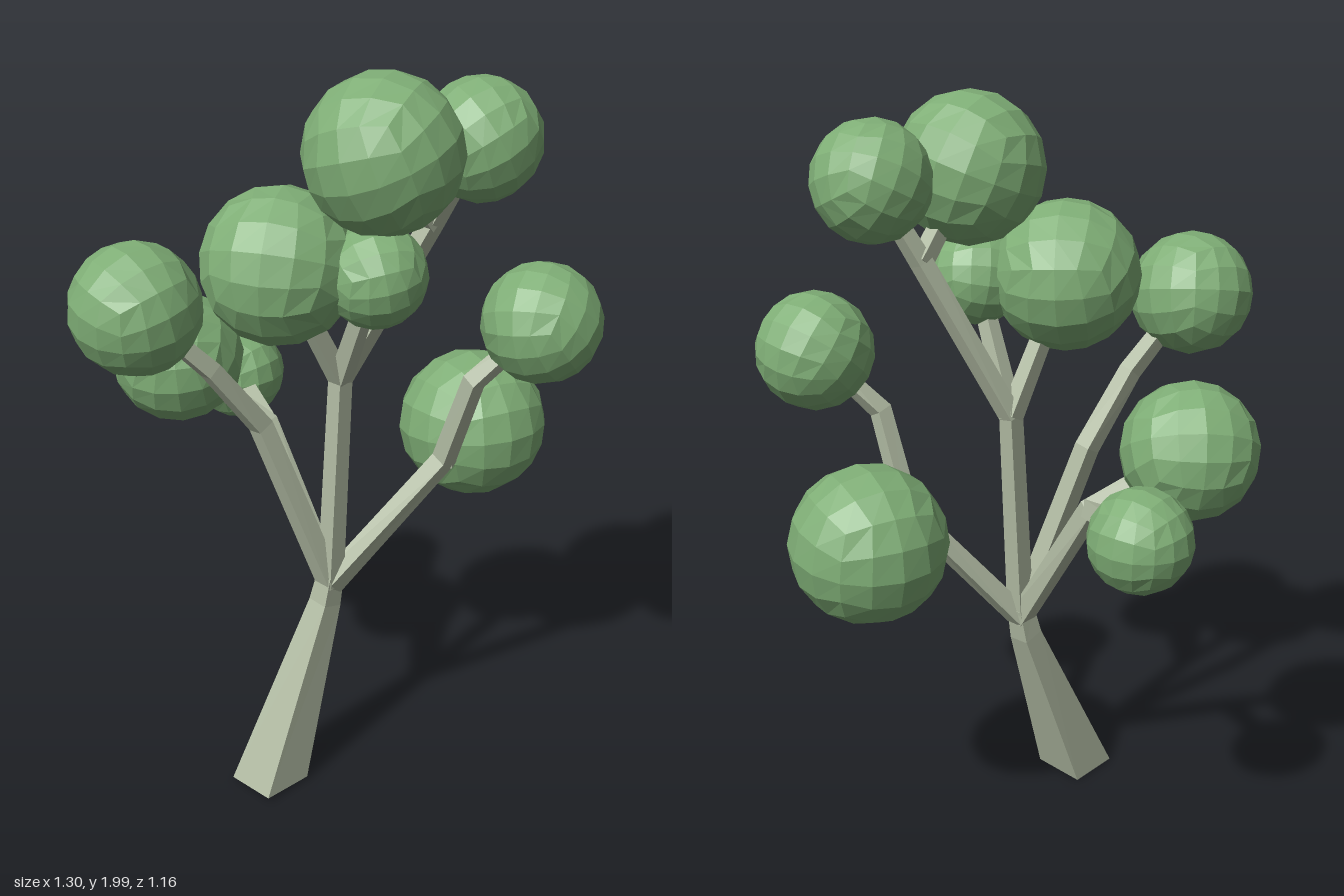
import * as THREE from 'three';

const V = (a) => new THREE.Vector3(a[0], a[1], a[2]);

// Four-sided limb through points [x, y, z, halfSide], mitred at each bend, capped at both ends.
function limbGeometry(points, baseNormal) {
  const p = points.map(V), n = p.length, pos = [], index = [];
  const ref = new THREE.Vector3(0.94, 0, 0.34);
  for (let i = 0; i < n; i++) {
    const t = new THREE.Vector3();
    if (i > 0) t.add(p[i].clone().sub(p[i - 1]).normalize());
    if (i < n - 1) t.add(p[i + 1].clone().sub(p[i]).normalize());
    if (i === 0 && baseNormal) t.copy(baseNormal);
    t.normalize();
    const u = ref.clone().addScaledVector(t, -ref.dot(t)).normalize();
    const w = u.clone().cross(t);
    for (const [a, b] of [[-1, -1], [-1, 1], [1, 1], [1, -1]]) {
      const h = points[i][3];
      const c = p[i].clone().addScaledVector(u, a * h).addScaledVector(w, b * h);
      pos.push(c.x, c.y, c.z);
    }
  }
  for (let i = 0; i < n - 1; i++) {
    for (let k = 0; k < 4; k++) {
      const a = i * 4 + k, b = i * 4 + (k + 1) % 4;
      index.push(a, b, b + 4, a, b + 4, a + 4);
    }
  }
  const e = (n - 1) * 4;
  index.push(0, 2, 1, 0, 3, 2, e, e + 1, e + 2, e, e + 2, e + 3);
  const g = new THREE.BufferGeometry();
  g.setAttribute('position', new THREE.Float32BufferAttribute(pos, 3));
  g.setIndex(index);
  g.computeVertexNormals();
  return g;
}

// Ball made of a subdivided cube pushed out to a unit sphere.
function ballGeometry() {
  const g = new THREE.BoxGeometry(2, 2, 2, 4, 4, 4);
  const p = g.attributes.position, v = new THREE.Vector3();
  const even = (c) => Math.tan(c * Math.PI / 4);
  for (let i = 0; i < p.count; i++) {
    v.fromBufferAttribute(p, i);
    v.set(even(v.x), even(v.y), even(v.z)).normalize();
    p.setXYZ(i, v.x, v.y, v.z);
  }
  g.computeVertexNormals();
  return g;
}

export function createModel() {
  const tree = new THREE.Group();
  tree.name = 'tree';
  const bark = new THREE.MeshStandardMaterial({ color: 0xb0baa2, flatShading: true });
  const leaf = new THREE.MeshStandardMaterial({ color: 0x7fae76, flatShading: true });

  // Foliage balls: centre and radius
  const balls = {
    top: [0.157, 1.803, 0.08, 0.198],
    topBack: [0.313, 1.8, -0.156, 0.156],
    middle: [-0.072, 1.523, 0.18, 0.199],
    upperRight: [-0.344, 1.445, 0.412, 0.166],
    lowerRight: [-0.476, 1.148, 0.017, 0.18],
    lowerRightBack: [-0.442, 1.005, -0.25, 0.134],
    inner: [0.157, 1.512, 0.118, 0.131],
    upperLeft: [0.492, 1.346, -0.166, 0.157],
    lowerLeftBack: [0.237, 0.928, -0.378, 0.206],
  };
  const ball = ballGeometry();
  Object.entries(balls).forEach(([name, [x, y, z, r]], i) => {
    const m = new THREE.Mesh(ball, leaf);
    m.name = name + 'Foliage';
    m.position.set(x, y, z);
    m.scale.setScalar(r);
    m.rotation.set(0.25 + 0.5 * Math.sin(i * 2.1), i * 0.9, 0.3 * Math.cos(i * 1.7));
    tree.add(m);
  });

  const addLimb = (name, points, baseNormal) => {
    const m = new THREE.Mesh(limbGeometry(points, baseNormal), bark);
    m.name = name;
    tree.add(m);
  };
  // Twig end inside a foliage ball
  const into = (name) => [...balls[name].slice(0, 3), 0.018];

  // Trunk, leaning back from its wide foot
  addLimb('trunk', [
    [-0.095, 0.011, 0.245, 0.074], [-0.012, 0.51, 0.058, 0.031], [0, 0.6, 0.045, 0.026],
  ], new THREE.Vector3(-0.04, 1, -0.05));

  // Forks shared by several branches
  const crotch = [0, 0.565, 0.048, 0.026];
  const rightFork = [-0.235, 0.97, -0.04, 0.024];
  const centreFork = [0.014, 1.17, 0.015, 0.023];
  const topFork = [0.215, 1.59, -0.09, 0.022];
  const leftFork = [0.25, 0.92, -0.135, 0.024];

  // Right side branches
  addLimb('lowerRightBranch', [crotch, rightFork, into('lowerRight')]);
  addLimb('lowerRightTwig', [rightFork, into('lowerRightBack')]);
  addLimb('upperRightBranch', [crotch, [-0.15, 1.06, 0.15, 0.024], [-0.225, 1.25, 0.27, 0.022], into('upperRight')]);

  // Centre branches
  addLimb('centreBranch', [crotch, centreFork, topFork, into('topBack')]);
  addLimb('topTwig', [topFork, into('top')]);
  addLimb('middleTwig', [centreFork, into('middle')]);
  addLimb('innerTwig', [centreFork, into('inner')]);

  // Left side branches
  addLimb('leftBranch', [crotch, leftFork, [0.34, 1.18, -0.1, 0.022], into('upperLeft')]);
  addLimb('lowerLeftTwig', [leftFork, into('lowerLeftBack')]);

  return tree;
}
